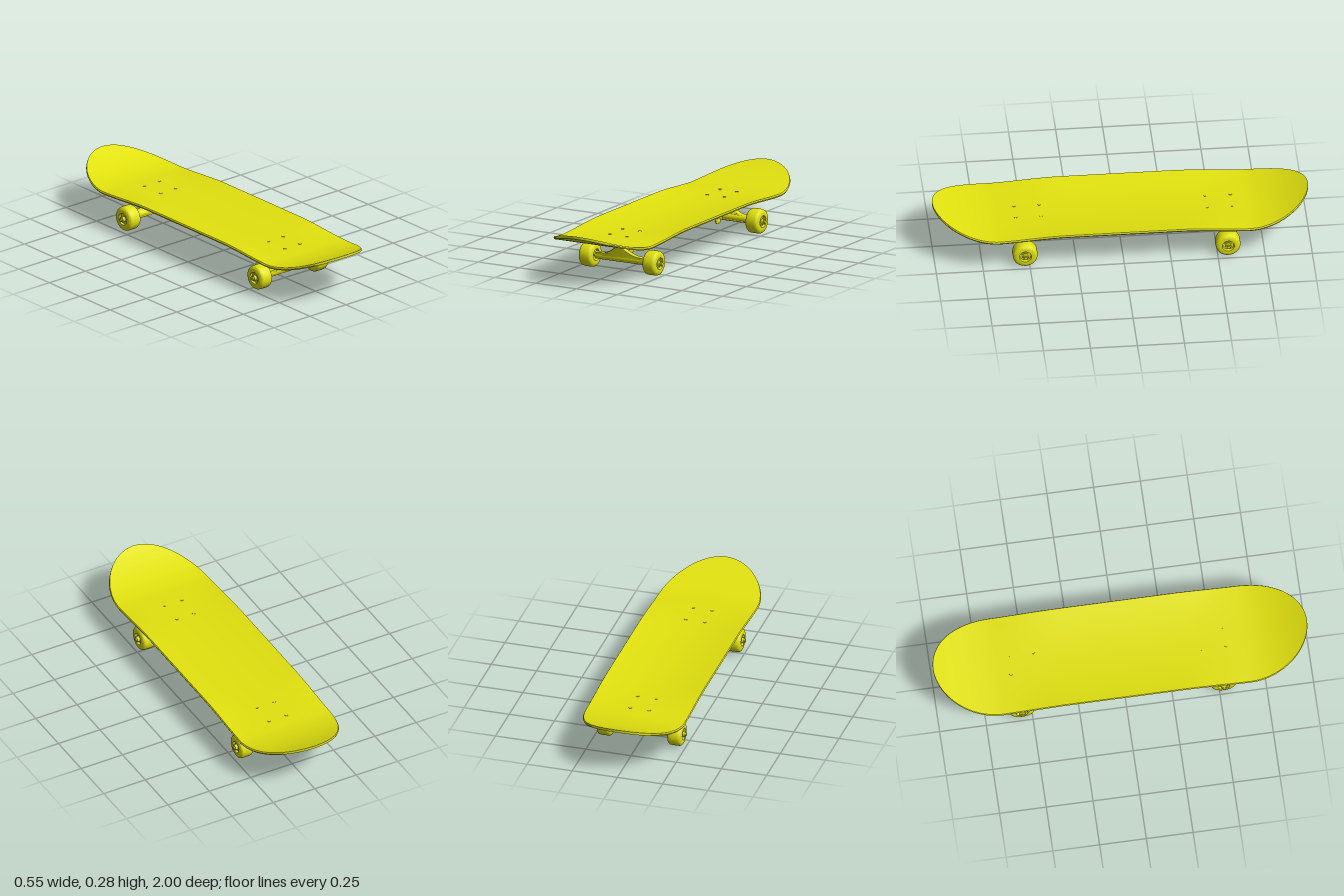
import * as THREE from 'three';
import { toCreasedNormals } from 'three/addons/utils/BufferGeometryUtils.js';
import { RoundedBoxGeometry } from 'three/addons/geometries/RoundedBoxGeometry.js';

const yellow = new THREE.MeshStandardMaterial({ color: 0xe2e20f });
yellow.name = 'yellow';

const HALF_WIDTH = 0.275, STRAIGHT = 0.66, NOSE = 0.34, THICK = 0.015;

function add(parent, name, geometry, x = 0, y = 0, z = 0) {
  const mesh = new THREE.Mesh(geometry, yellow);
  mesh.name = name;
  mesh.position.set(x, y, z);
  parent.add(mesh);
  return mesh;
}

// Cylinder running between two points
function rod(parent, name, from, to, r0, r1 = r0, sides = 24) {
  const a = new THREE.Vector3(...from), b = new THREE.Vector3(...to);
  const dir = b.clone().sub(a);
  const mesh = add(parent, name, new THREE.CylinderGeometry(r1, r0, dir.length(), sides));
  mesh.position.copy(a).add(b).multiplyScalar(0.5);
  mesh.quaternion.setFromUnitVectors(new THREE.Vector3(0, 1, 0), dir.normalize());
  return mesh;
}

// Underside height: concave middle that flattens out, then kicks up at both ends
function deckBottom(x, z) {
  const d = Math.abs(z);
  const concave = 0.02 * (1 - THREE.MathUtils.smoothstep(d, 0.3, 0.7)) * (x / HALF_WIDTH) ** 2;
  const kick = 0.087 * Math.max(0, (d - STRAIGHT) / NOSE) ** 1.9;
  return 0.183 + concave + kick;
}

function deckGeometry() {
  const rows = [], COLS = 24, END = 28, MID = 32;
  for (let i = 0; i <= END; i++) rows.push(-STRAIGHT - NOSE * Math.cos((i / END) * Math.PI / 2));
  for (let i = 1; i < MID; i++) rows.push(-STRAIGHT + 2 * STRAIGHT * i / MID);
  for (let i = 0; i <= END; i++) rows.push(STRAIGHT + NOSE * Math.sin((i / END) * Math.PI / 2));

  // Each row is a closed loop: top, right rim, underside, left rim
  const positions = [], index = [];
  const loop = 2 * (COLS + 1) + 2;
  for (const z of rows) {
    const t = Math.max(0, (Math.abs(z) - STRAIGHT) / NOSE);
    const w = HALF_WIDTH * Math.sqrt(Math.max(0, 1 - t * t));
    const inner = Math.max(0, w - 0.004);
    const point = (x, lift) => positions.push(x, deckBottom(x, z) + lift, z);
    for (let j = 0; j <= COLS; j++) point(inner * (2 * j / COLS - 1), THICK);
    point(w, THICK / 2);
    for (let j = 0; j <= COLS; j++) point(inner * (1 - 2 * j / COLS), 0);
    point(-w, THICK / 2);
  }
  for (let i = 0; i < rows.length - 1; i++) {
    for (let j = 0; j < loop; j++) {
      const k = (j + 1) % loop;
      const a = i * loop + j, b = i * loop + k, c = a + loop, d = b + loop;
      index.push(a, c, b, b, c, d);
    }
  }
  const g = new THREE.BufferGeometry();
  g.setAttribute('position', new THREE.Float32BufferAttribute(positions, 3));
  g.setIndex(index);
  return toCreasedNormals(g, 0.7);
}

// Hanger silhouette, leaning outwards towards the pivot
function hangerGeometry() {
  const s = new THREE.Shape();
  s.moveTo(-0.145, 0.053);
  s.lineTo(0.145, 0.053);
  s.lineTo(0.145, 0.082);
  s.lineTo(0.1, 0.085);
  s.quadraticCurveTo(0.065, 0.092, 0.02, 0.127);
  s.lineTo(-0.02, 0.127);
  s.quadraticCurveTo(-0.065, 0.092, -0.1, 0.085);
  s.lineTo(-0.145, 0.082);
  const g = new THREE.ExtrudeGeometry(s, {
    depth: 0.018, bevelThickness: 0.007, bevelSize: 0.005, bevelSegments: 3, curveSegments: 10,
  });
  const p = g.attributes.position;
  for (let i = 0; i < p.count; i++) {
    p.setZ(i, p.getZ(i) + 0.021 + Math.max(0, p.getY(i) - 0.068) * 0.35);
  }
  return toCreasedNormals(g, 0.7);
}

// Rounded tyre with a recessed hub on each side
function wheelGeometry() {
  const half = [[0.066, 0.02], [0.0645, 0.028], [0.06, 0.034], [0.053, 0.038], [0.045, 0.039],
    [0.032, 0.039], [0.029, 0.026], [0.008, 0.026]];
  const points = [
    ...half.map(([r, y]) => new THREE.Vector2(r, -y)).reverse(),
    ...half.map(([r, y]) => new THREE.Vector2(r, y)),
  ];
  const g = new THREE.LatheGeometry(points, 40);
  g.rotateZ(-Math.PI / 2);
  return toCreasedNormals(g, 0.6);
}

// Truck: outwards is +z, origin midway between the mounting bolts
function makeTruck(name) {
  const truck = new THREE.Group();
  truck.name = name;
  const AXLE_Y = 0.066, AXLE_Z = 0.031;

  add(truck, 'basePlate', new RoundedBoxGeometry(0.134, 0.014, 0.172, 3, 0.005), 0, 0.177, 0);
  rod(truck, 'pivotHousing', [0, 0.175, 0.05], [0, 0.128, 0.044], 0.036, 0.022);
  rod(truck, 'kingpinHousing', [0, 0.176, -0.008], [0, 0.138, -0.018], 0.042, 0.03);

  // Kingpin with its bushings, washers and nut
  const along = (t) => [0, 0.175 - 0.133 * t, -0.006 - 0.045 * t];
  rod(truck, 'kingpin', along(0), along(1), 0.009);
  rod(truck, 'upperBushing', along(0.28), along(0.46), 0.024, 0.027);
  rod(truck, 'hangerRing', along(0.46), along(0.62), 0.031);
  rod(truck, 'lowerBushing', along(0.62), along(0.78), 0.026, 0.02);
  rod(truck, 'kingpinWasher', along(0.78), along(0.81), 0.023);
  rod(truck, 'kingpinNut', along(0.81), along(0.93), 0.015, 0.015, 6);

  // Hanger and axle
  add(truck, 'hanger', hangerGeometry());
  add(truck, 'hangerNeck', new RoundedBoxGeometry(0.044, 0.022, 0.06, 3, 0.006), 0, 0.096, 0.005);
  rod(truck, 'axleSleeve', [-0.156, 0.068, AXLE_Z], [0.156, 0.068, AXLE_Z], 0.0195);
  rod(truck, 'axle', [-0.249, AXLE_Y, AXLE_Z], [0.249, AXLE_Y, AXLE_Z], 0.009);

  for (const side of [-1, 1]) {
    add(truck, 'wheel', wheelGeometry(), side * 0.195, AXLE_Y, AXLE_Z);
    const at = (x) => [side * x, AXLE_Y, AXLE_Z];
    rod(truck, 'bearing', at(0.219), at(0.225), 0.021);
    rod(truck, 'axleNut', at(0.225), at(0.242), 0.0155, 0.0155, 6);

    // Mounting bolts through the deck
    for (const end of [-1, 1]) {
      const x = side * 0.052, z = end * 0.067;
      rod(truck, 'mountingBolt', [x, 0.151, z], [x, 0.19, z], 0.007, 0.007, 12);
      rod(truck, 'mountingNut', [x, 0.158, z], [x, 0.171, z], 0.012, 0.012, 6);
      rod(truck, 'boltHead', [x, 0.194, z], [x, 0.2008, z], 0.009, 0.009, 16);
    }
  }
  return truck;
}

export function createModel() {
  const model = new THREE.Group();
  model.name = 'skateboard';
  add(model, 'deck', deckGeometry());

  const front = makeTruck('frontTruck');
  front.position.z = 0.493;
  const back = makeTruck('backTruck');
  back.position.z = -0.524;
  back.rotation.y = Math.PI;
  model.add(front, back);
  return model;
}
